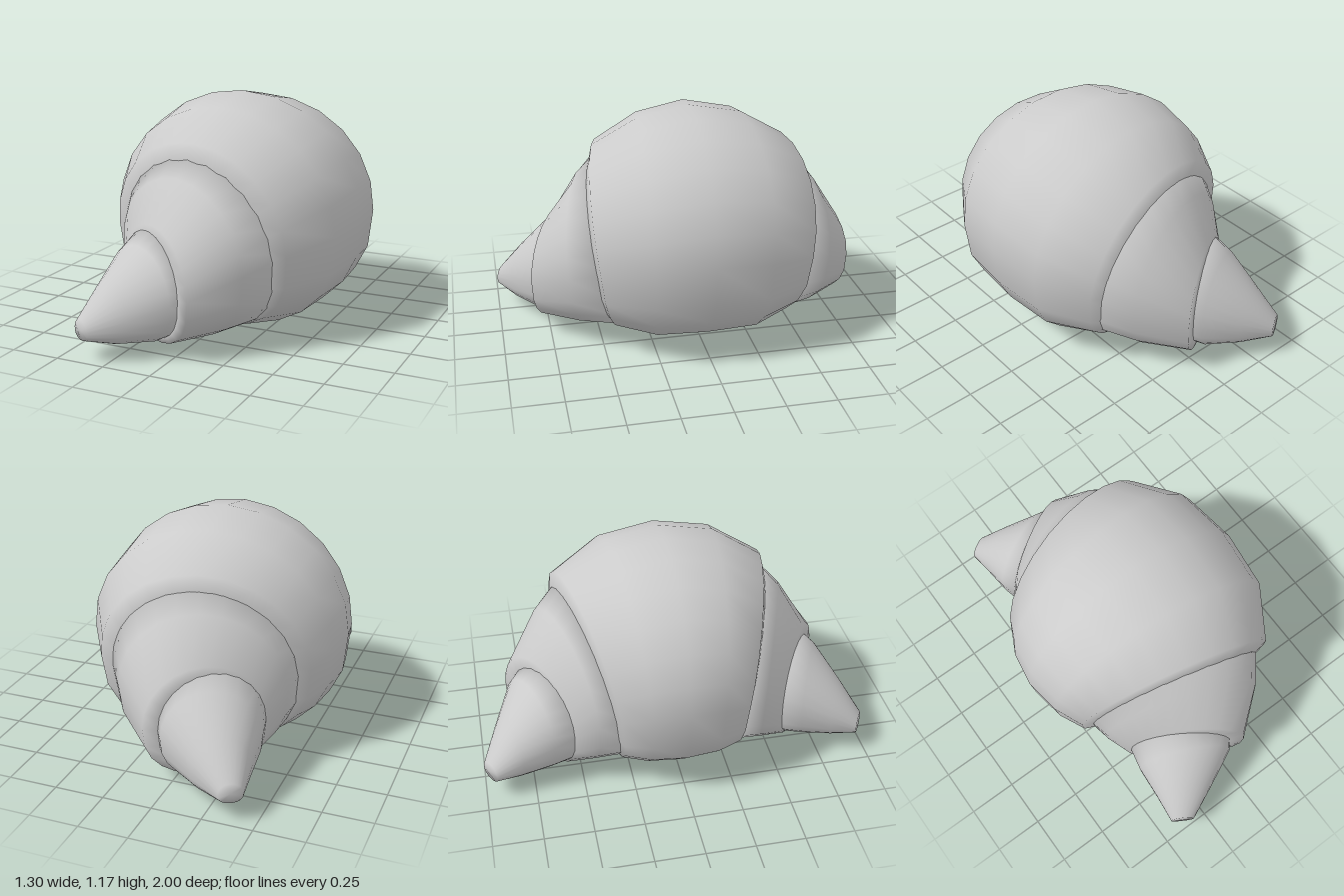
import * as THREE from 'three';

const SIDES = 24;

// Each ring: [left x, left z, right x, right z, bottom y, top y, forward lean of the top]
const HALF_BODY = [
  [-0.62, 0.18, 0.62, 0.29, 0.005, 1.12, 0.03],
  [-0.55, 0.32, 0.47, 0.53, 0.04, 0.98, 0.07],
  [-0.42, 0.37, 0.34, 0.55, 0.08, 0.86, 0.06],
];
const MIDDLE = [-0.65, 0, 0.65, 0, 0, 1.17, 0];
const SHOULDER = [
  [-0.51, 0.29, 0.46, 0.46, 0.035, 0.98, 0.07],
  [-0.47, 0.42, 0.31, 0.67, 0.035, 0.82, 0.03],
  [-0.41, 0.53, 0.11, 0.84, 0.04, 0.61, 0],
  [-0.36, 0.57, 0.05, 0.81, 0.07, 0.55, 0],
];
const HORN = [
  [-0.39, 0.48, 0.08, 0.76, 0.06, 0.62, 0],
  [-0.42, 0.64, 0.02, 0.84, 0.055, 0.52, 0],
  [-0.425, 0.80, -0.16, 0.925, 0.065, 0.36, 0],
  [-0.435, 0.94, -0.33, 1.0, 0.1, 0.2, 0],
];

// Same rings on the opposite side, kept in order of increasing z
const mirror = (rings) =>
  rings.map(([xl, zl, xr, zr, yb, yt, lean]) => [xl, -zl, xr, -zr, yb, yt, -lean]).reverse();

// Closed skin over the rings; their undersides are flattened
function loft(name, rings, material) {
  const pos = [];
  const index = [];
  const centres = [];
  for (const [xl, zl, xr, zr, yb, yt, lean] of rings) {
    const cx = (xl + xr) / 2, cz = (zl + zr) / 2, cy = yb + 0.48 * (yt - yb);
    centres.push([cx, cy, cz]);
    for (let j = 0; j < SIDES; j++) {
      const a = (j / SIDES) * Math.PI * 2;
      const s = Math.sin(a), c = Math.cos(a);
      const y = c >= 0 ? cy + (yt - cy) * c : cy - (cy - yb) * Math.pow(-c, 0.75);
      pos.push(cx + s * (xr - xl) / 2, y, cz + s * (zr - zl) / 2 + lean * c);
    }
  }
  const last = (rings.length - 1) * SIDES;
  const start = rings.length * SIDES, end = start + 1;
  pos.push(...centres[0], ...centres[centres.length - 1]);
  for (let j = 0; j < SIDES; j++) {
    const k = (j + 1) % SIDES;
    for (let r = 0; r < last; r += SIDES) {
      index.push(r + j, r + SIDES + j, r + k, r + k, r + SIDES + j, r + SIDES + k);
    }
    index.push(start, j, k, end, last + k, last + j);
  }
  const geometry = new THREE.BufferGeometry();
  geometry.setAttribute('position', new THREE.Float32BufferAttribute(pos, 3));
  geometry.setIndex(index);
  geometry.computeVertexNormals();
  const mesh = new THREE.Mesh(geometry, material);
  mesh.name = name;
  return mesh;
}

export function createModel() {
  const group = new THREE.Group();
  group.name = 'croissant';
  const material = new THREE.MeshStandardMaterial({ color: 0xcccccc });
  // Fat middle roll
  group.add(loft('middleRoll', [...mirror(HALF_BODY), MIDDLE, ...HALF_BODY], material));
  // Tapering rolls and pointed ends on both sides
  group.add(loft('frontRoll', SHOULDER, material));
  group.add(loft('backRoll', mirror(SHOULDER), material));
  group.add(loft('frontTip', HORN, material));
  group.add(loft('backTip', mirror(HORN), material));
  return group;
}
